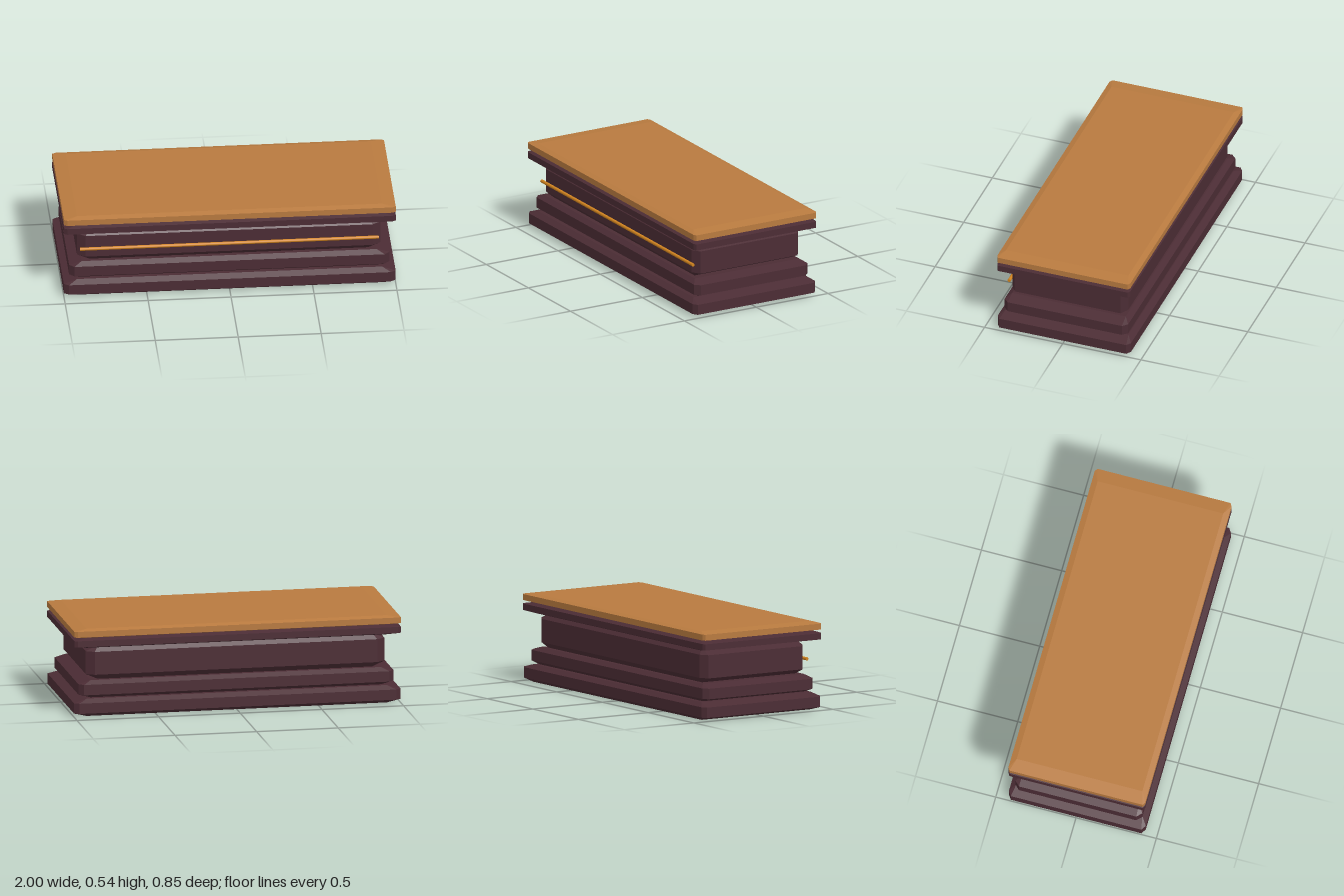
import * as THREE from 'three';
import { ConvexGeometry } from 'three/addons/geometries/ConvexGeometry.js';

const material = (name, color) => {
  const m = new THREE.MeshStandardMaterial({ color });
  m.name = name;
  return m;
};

// Slab with sloped top and bottom edges and cut vertical corners.
// x, z: half sizes; inset: [x, z] slope width; rise: slope height; cut: [x, z] corner cut
function bevelledSlab({ x, z, y0, y1, inset, rise, cut }) {
  const points = [];
  for (const sx of [-1, 1]) for (const sz of [-1, 1]) {
    for (const y of [y0, y1]) {
      points.push(new THREE.Vector3(sx * (x - inset[0]), y, sz * (z - inset[1])));
    }
    for (const y of [y0 + rise, y1 - rise]) {
      points.push(new THREE.Vector3(sx * x, y, sz * (z - cut[1])));
      points.push(new THREE.Vector3(sx * (x - cut[0]), y, sz * z));
    }
  }
  return new ConvexGeometry(points);
}

export function createModel() {
  const group = new THREE.Group();
  group.name = 'counter';
  const darkWood = material('dark wood', 0x4b2c34);
  const lightWood = material('light wood', 0xb87a3f);
  const brass = material('brass', 0xd2841f);

  const add = (name, geometry, mat) => {
    const mesh = new THREE.Mesh(geometry, mat);
    mesh.name = name;
    group.add(mesh);
    return mesh;
  };

  // Stacked slabs, from the floor up
  const slabs = [
    ['basePlinth', darkWood, { x: 1, z: 0.426, y0: 0, y1: 0.107, inset: [0.08, 0.035], rise: 0.022, cut: [0.03, 0.02] }],
    ['upperPlinth', darkWood, { x: 0.965, z: 0.395, y0: 0.107, y1: 0.213, inset: [0.075, 0.032], rise: 0.021, cut: [0.03, 0.03] }],
    ['body', darkWood, { x: 0.915, z: 0.37, y0: 0.213, y1: 0.42, inset: [0.075, 0.034], rise: 0.033, cut: [0.05, 0.032] }],
    ['cornice', darkWood, { x: 1, z: 0.426, y0: 0.42, y1: 0.482, inset: [0.08, 0.035], rise: 0.012, cut: [0.02, 0.011] }],
    ['top', lightWood, { x: 1, z: 0.426, y0: 0.482, y1: 0.538, inset: [0.08, 0.035], rise: 0.01, cut: [0.02, 0.011] }],
  ];
  for (const [name, mat, size] of slabs) add(name, bevelledSlab(size), mat);

  // Thin rail along the front of the body
  const rail = add('frontRail', new THREE.CylinderGeometry(0.01, 0.01, 1.8, 12), brass);
  rail.rotation.z = Math.PI / 2;
  rail.position.set(0, 0.304, 0.38);

  return group;
}
